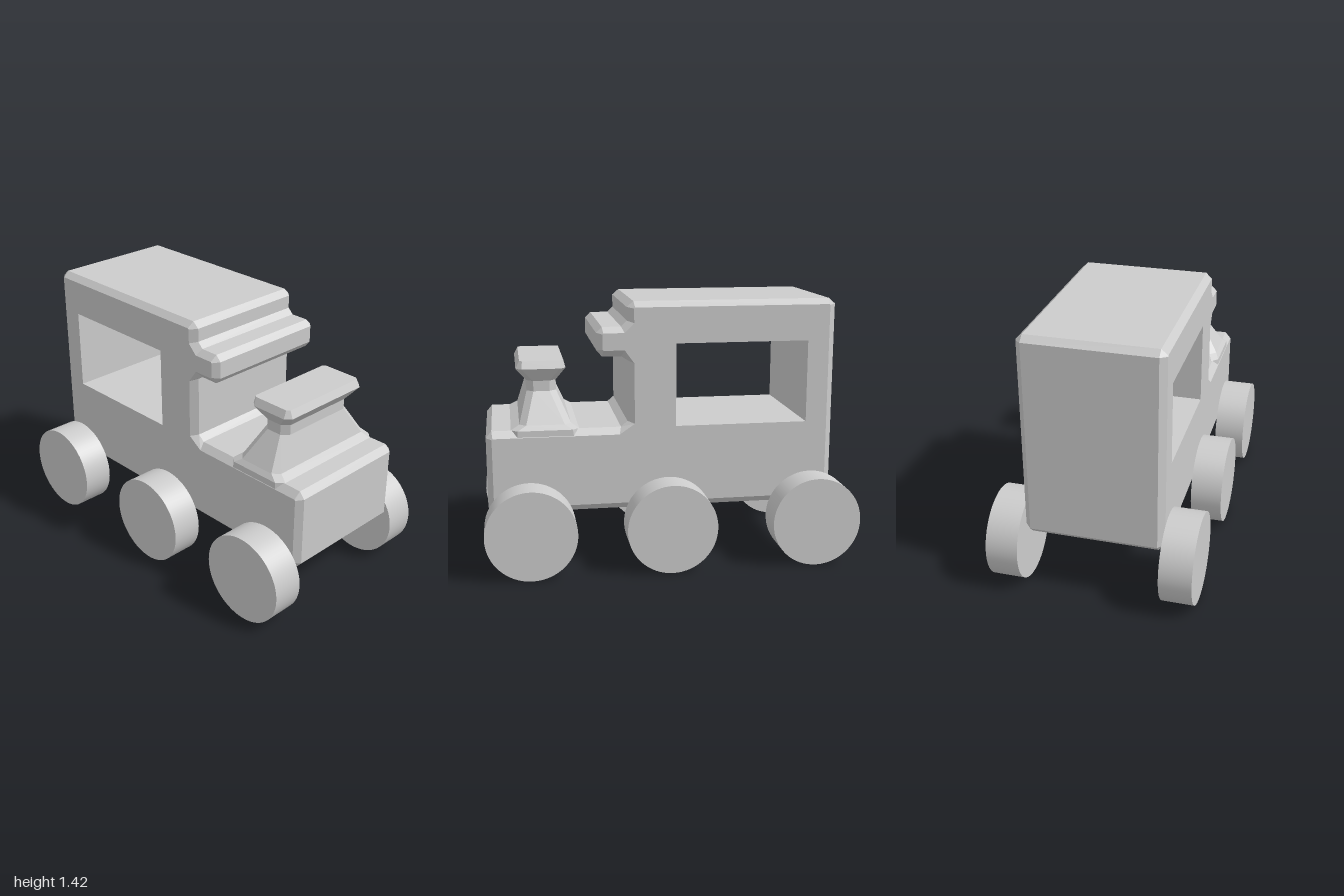
import * as THREE from 'three';

const material = new THREE.MeshStandardMaterial({ color: 0xcccccc, flatShading: true });
const smooth = new THREE.MeshStandardMaterial({ color: 0xcccccc });

// Joins successive closed rings of points with flat quads
function skin(rings, out) {
  for (let k = 0; k + 1 < rings.length; k++) {
    const a = rings[k], b = rings[k + 1], n = a.length;
    for (let i = 0; i < n; i++) {
      const j = (i + 1) % n;
      out.push(a[i], b[i], b[j], a[i], b[j], a[j]);
    }
  }
}

// Closes one end; outline runs counter-clockwise, holes clockwise
function cap(outline, holes, place, flip, out) {
  const all = [outline, ...holes].flat();
  for (const [a, b, c] of THREE.ShapeUtils.triangulateShape(outline, holes)) {
    const tri = flip ? [a, c, b] : [a, b, c];
    tri.forEach((i) => out.push(place(all[i])));
  }
}

function meshFrom(points, name) {
  const geometry = new THREE.BufferGeometry().setFromPoints(points);
  geometry.computeVertexNormals();
  const mesh = new THREE.Mesh(geometry, material);
  mesh.name = name;
  return mesh;
}

// Side profile as [z, y, chamfered z, chamfered y], from the nose over the roof
const PROFILE = [
  [0.975, 0.35, 0.945, 0.355], [0.975, 0.725, 0.945, 0.72],
  [0.945, 0.76, 0.94, 0.725], [0.27, 0.76, 0.28, 0.725],
  [0.235, 0.79, 0.2, 0.78], [0.235, 1.115, 0.2, 1.1],
  [0.265, 1.135, 0.25, 1.17], [0.365, 1.135, 0.36, 1.17],
  [0.395, 1.17, 0.365, 1.175], [0.395, 1.26, 0.365, 1.255],
  [0.365, 1.29, 0.36, 1.26], [0.265, 1.29, 0.25, 1.26],
  [0.235, 1.32, 0.2, 1.31], [0.235, 1.39, 0.2, 1.385],
  [0.2, 1.42, 0.195, 1.39], [-0.845, 1.42, -0.84, 1.39],
  [-0.88, 1.39, -0.845, 1.385], [-0.88, 0.35, -0.845, 0.355],
  [-0.845, 0.315, -0.84, 0.35], [0.945, 0.315, 0.94, 0.35],
];

// Cab, visor and hood in one chamfered body with a window right through
function makeBody() {
  const out = [];
  const outer = PROFILE.map((p) => new THREE.Vector2(p[0], p[1]));
  const inner = PROFILE.map((p) => new THREE.Vector2(p[2], p[3]));
  const hole = [[-0.73, 0.76], [-0.73, 1.2], [-0.02, 1.2], [-0.02, 0.76]]
    .map(([z, y]) => new THREE.Vector2(z, y));
  const at = (x) => (p) => new THREE.Vector3(x, p.y, p.x);
  const half = 0.368, flat = 0.335;
  skin([inner.map(at(-half)), outer.map(at(-flat)), outer.map(at(flat)), inner.map(at(half))], out);
  skin([hole.map(at(-half)), hole.map(at(half))], out);
  cap(inner, [hole], at(-half), false, out);
  cap(inner, [hole], at(half), true, out);
  return meshFrom(out, 'body');
}

// Flared chimney: chamfered rectangles as [y, half width, back z, front z, chamfer]
function makeChimney() {
  const rows = [
    [0.69, 0.367, 0.48, 0.85, 0.035], [0.76, 0.365, 0.49, 0.845, 0.035],
    [0.785, 0.345, 0.53, 0.8, 0.035], [0.945, 0.24, 0.6, 0.755, 0.035],
    [1.0, 0.24, 0.6, 0.755, 0.035], [1.07, 0.285, 0.55, 0.81, 0.03],
    [1.11, 0.265, 0.56, 0.79, 0.015],
  ];
  const section = ([, w, b, f, c]) => [
    [w, b + c], [w, f - c], [w - c, f], [c - w, f],
    [-w, f - c], [-w, b + c], [c - w, b], [w - c, b],
  ].map(([x, z]) => new THREE.Vector2(x, z));
  const at = (y) => (p) => new THREE.Vector3(p.x, y, p.y);
  const out = [];
  skin(rows.map((r) => section(r).map(at(r[0]))), out);
  const top = rows[rows.length - 1];
  cap(section(top), [], at(top[0]), true, out);
  return meshFrom(out, 'chimney');
}

export function createModel() {
  const model = new THREE.Group();
  model.name = 'toyTrain';
  model.add(makeBody(), makeChimney());

  // Three wheels on each side
  const wheelGeometry = new THREE.CylinderGeometry(0.24, 0.24, 0.17, 64).rotateZ(Math.PI / 2);
  for (const [side, x] of [['left', 0.453], ['right', -0.453]]) {
    for (const [place, z] of [['Front', 0.76], ['Middle', 0.022], ['Rear', -0.76]]) {
      const wheel = new THREE.Mesh(wheelGeometry, smooth);
      wheel.name = `${side}${place}Wheel`;
      wheel.position.set(x, 0.242, z);
      model.add(wheel);
    }
  }
  return model;
}
